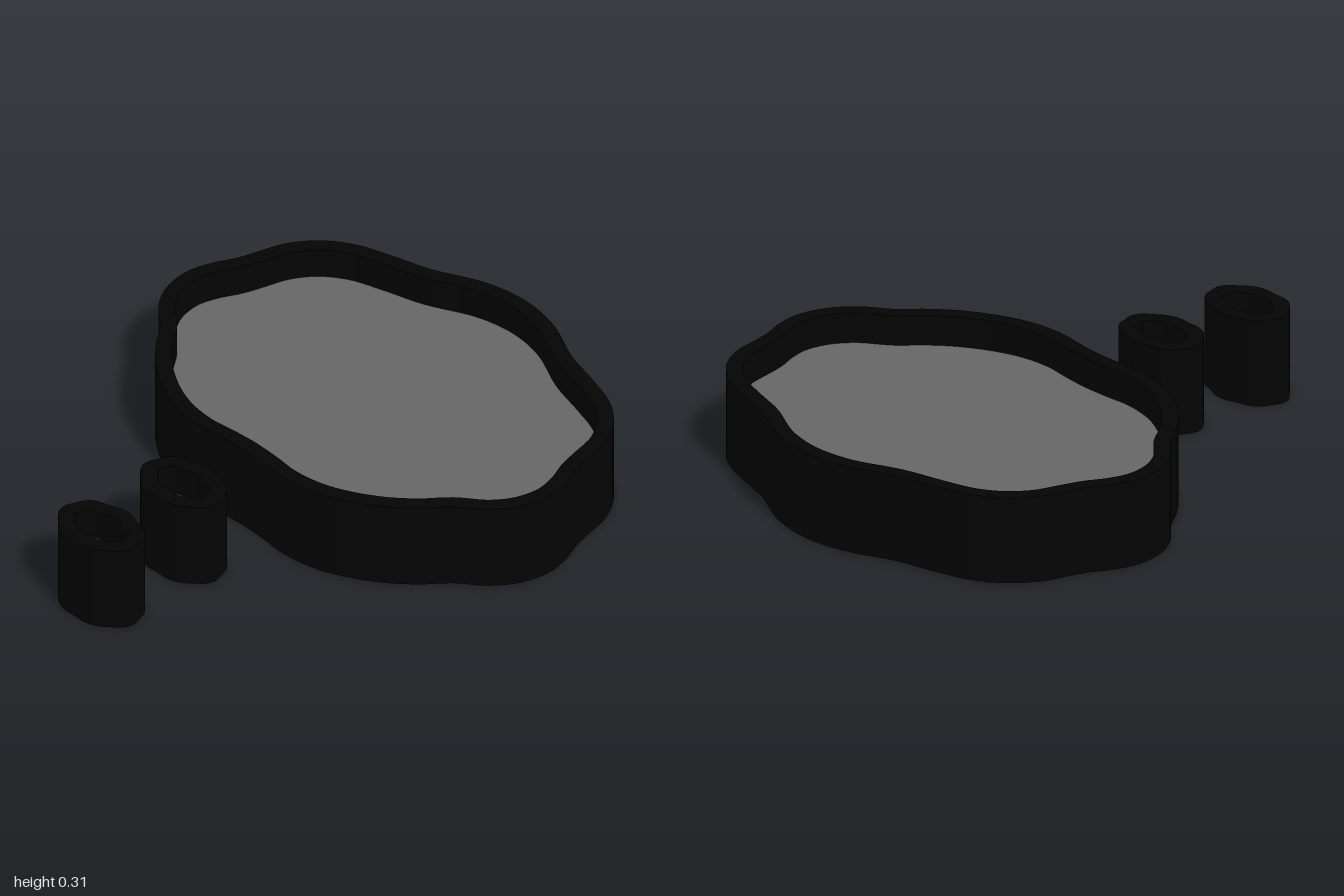
import * as THREE from 'three';

const HEIGHT = 0.305, FLOOR = 0.2, WALL = 0.055;

// Right half of the large cloud outline, as (x, z) from back to front
const HALF = [
  [0, -1], [0.16, -0.975], [0.34, -0.895], [0.48, -0.855], [0.61, -0.81], [0.705, -0.74],
  [0.768, -0.645], [0.797, -0.54], [0.815, -0.475], [0.848, -0.4], [0.869, -0.305],
  [0.848, -0.195], [0.79, -0.105], [0.7, -0.03], [0.635, 0.05], [0.55, 0.13],
  [0.43, 0.205], [0.32, 0.246], [0.2, 0.261], [0.1, 0.252], [0, 0.247],
];
const CENTRE_Z = -0.3675;

// Moves a closed outline outwards (d > 0) or inwards (d < 0) along its normals
function offset(points, d) {
  const n = points.length;
  return points.map((p, i) => {
    const a = points[(i + n - 1) % n], b = points[(i + 1) % n];
    const t = b.clone().sub(a).normalize();
    return new THREE.Vector2(p.x - t.y * d, p.y + t.x * d);
  });
}

// Smooth, mirrored centreline of the wall around the origin; shape y is -z
function cloudLine() {
  const right = HALF.map(([x, z]) => new THREE.Vector3(x, CENTRE_Z - z, 0));
  const left = right.slice(1, -1).reverse().map((p) => new THREE.Vector3(-p.x, p.y, 0));
  const curve = new THREE.CatmullRomCurve3([...right, ...left], true);
  const outer = curve.getSpacedPoints(160).slice(0, -1).map((p) => new THREE.Vector2(p.x, p.y));
  return offset(outer, -WALL / 2);
}

// Extrudes an outline upwards from y
function upright(outline, hole, y, height) {
  const shape = new THREE.Shape(outline);
  // A hole runs opposite to its outline so that its walls face inwards
  if (hole) shape.holes.push(new THREE.Path(hole.reverse()));
  const geometry = new THREE.ExtrudeGeometry(shape, { depth: height, bevelEnabled: false });
  return geometry.rotateX(-Math.PI / 2).translate(0, y, 0);
}

export function createModel() {
  const group = new THREE.Group();
  const wallMaterial = new THREE.MeshStandardMaterial({ color: 0x040404, side: THREE.DoubleSide });
  const floorMaterial = new THREE.MeshStandardMaterial({ color: 0x676867 });
  const line = cloudLine();

  // One bubble: a raised wall around a recessed floor slab
  function addBubble(name, z, sx, sz) {
    const path = line.map((p) => new THREE.Vector2(p.x * sx, p.y * sz));
    const bubble = new THREE.Group();
    bubble.name = name;
    const wall = new THREE.Mesh(
      upright(offset(path, WALL / 2), offset(path, -WALL / 2), 0.002, HEIGHT - 0.002), wallMaterial);
    wall.name = name + 'Wall';
    const floor = new THREE.Mesh(upright(offset(path, WALL * 0.25), null, 0, FLOOR), floorMaterial);
    floor.name = name + 'Floor';
    bubble.add(wall, floor);
    bubble.position.z = z;
    group.add(bubble);
  }

  addBubble('cloud', CENTRE_Z, 1, 1);
  addBubble('nearBubble', 0.5175, 0.164, 0.15);
  addBubble('farBubble', 0.8825, 0.164, 0.15);
  return group;
}
